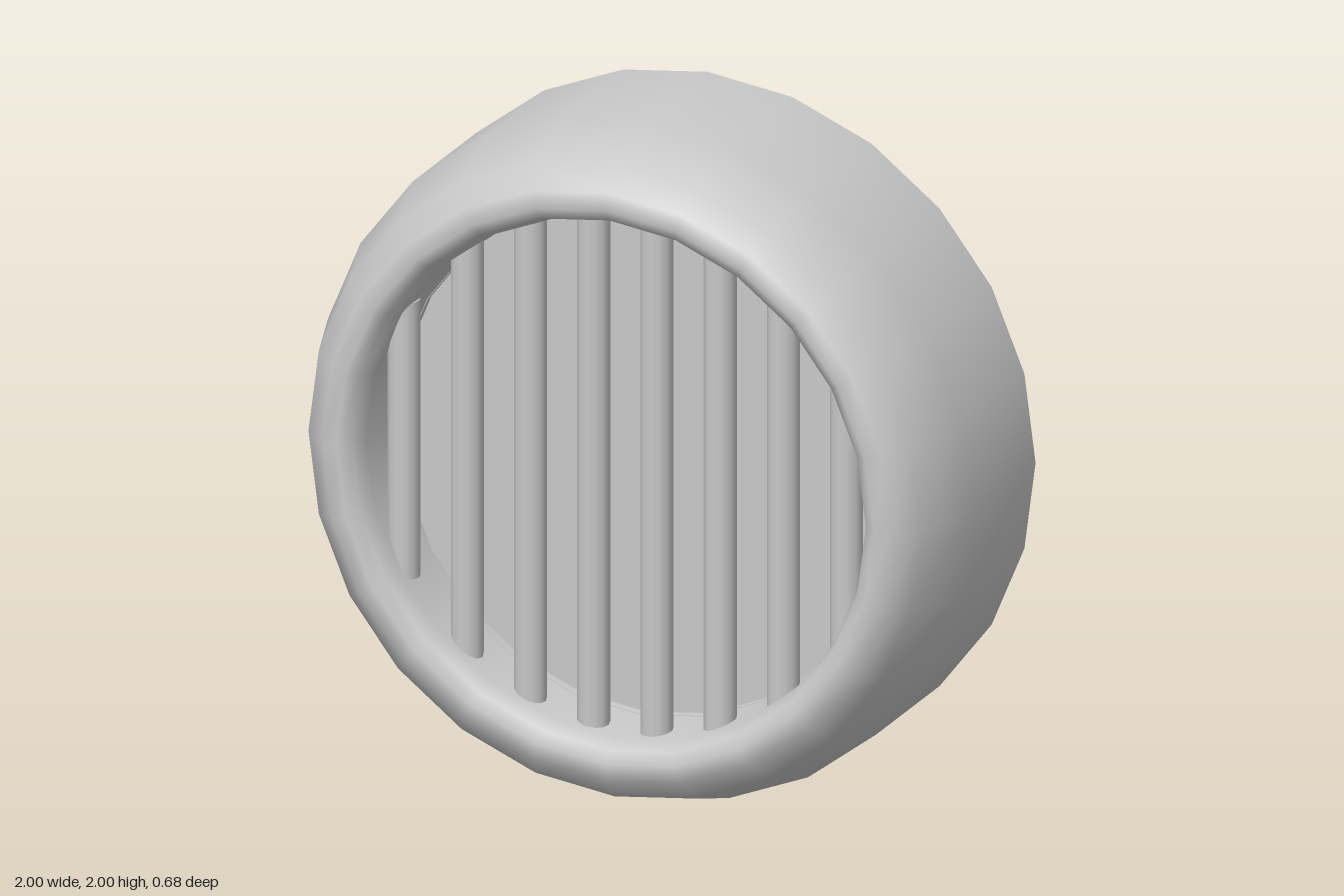
import * as THREE from 'three';

const grey = new THREE.MeshStandardMaterial({ color: 0xc8c8c8, side: THREE.DoubleSide });
grey.name = 'grey';

function add(parent, name, geometry, x = 0, y = 0, z = 0) {
  const mesh = new THREE.Mesh(geometry, grey);
  mesh.name = name;
  mesh.position.set(x, y, z);
  parent.add(mesh);
  return mesh;
}

// Regular polygon traced on a Shape or Path, first corner on +x
function polygon(path, radius, sides) {
  for (let i = 0; i < sides; i++) {
    const a = (i / sides) * Math.PI * 2;
    const p = [radius * Math.cos(a), radius * Math.sin(a)];
    if (i === 0) path.moveTo(...p);
    else path.lineTo(...p);
  }
  path.closePath();
  return path;
}

export function createModel() {
  const model = new THREE.Group();
  model.name = 'roundVent';
  const body = new THREE.Group();
  body.name = 'ventBody';
  body.position.y = 1;
  model.add(body);

  // Outer shell, open at the back, rolling over the front lip into the opening
  const profile = [
    [1, -0.34], [1, 0.08], [0.935, 0.275], [0.87, 0.33], [0.82, 0.338],
    [0.785, 0.315], [0.765, 0.26], [0.752, 0.075],
  ].map(([r, z]) => new THREE.Vector2(r, z));
  const shell = new THREE.LatheGeometry(profile, 24);
  shell.rotateX(Math.PI / 2);
  add(body, 'shell', shell);

  // Flat coarse ring closing the hollow rim from behind
  const ring = polygon(new THREE.Shape(), 0.97, 12);
  ring.holes.push(polygon(new THREE.Path(), 0.752, 24));
  add(body, 'rearRing', new THREE.ShapeGeometry(ring), 0, 0, 0.1);

  // Floor disc behind the bars, standing slightly proud of the rear ring
  add(body, 'floorDisc', new THREE.CircleGeometry(0.752, 24), 0, 0, 0.075);

  // Vertical round bars, trimmed to the circular opening
  for (let i = 0; i < 8; i++) {
    const x = (i - 3.5) * 0.193;
    const length = 2 * Math.sqrt(0.79 ** 2 - x * x);
    add(body, 'grilleBar', new THREE.CylinderGeometry(0.046, 0.046, length, 12), x, 0, 0.205);
  }
  return model;
}
